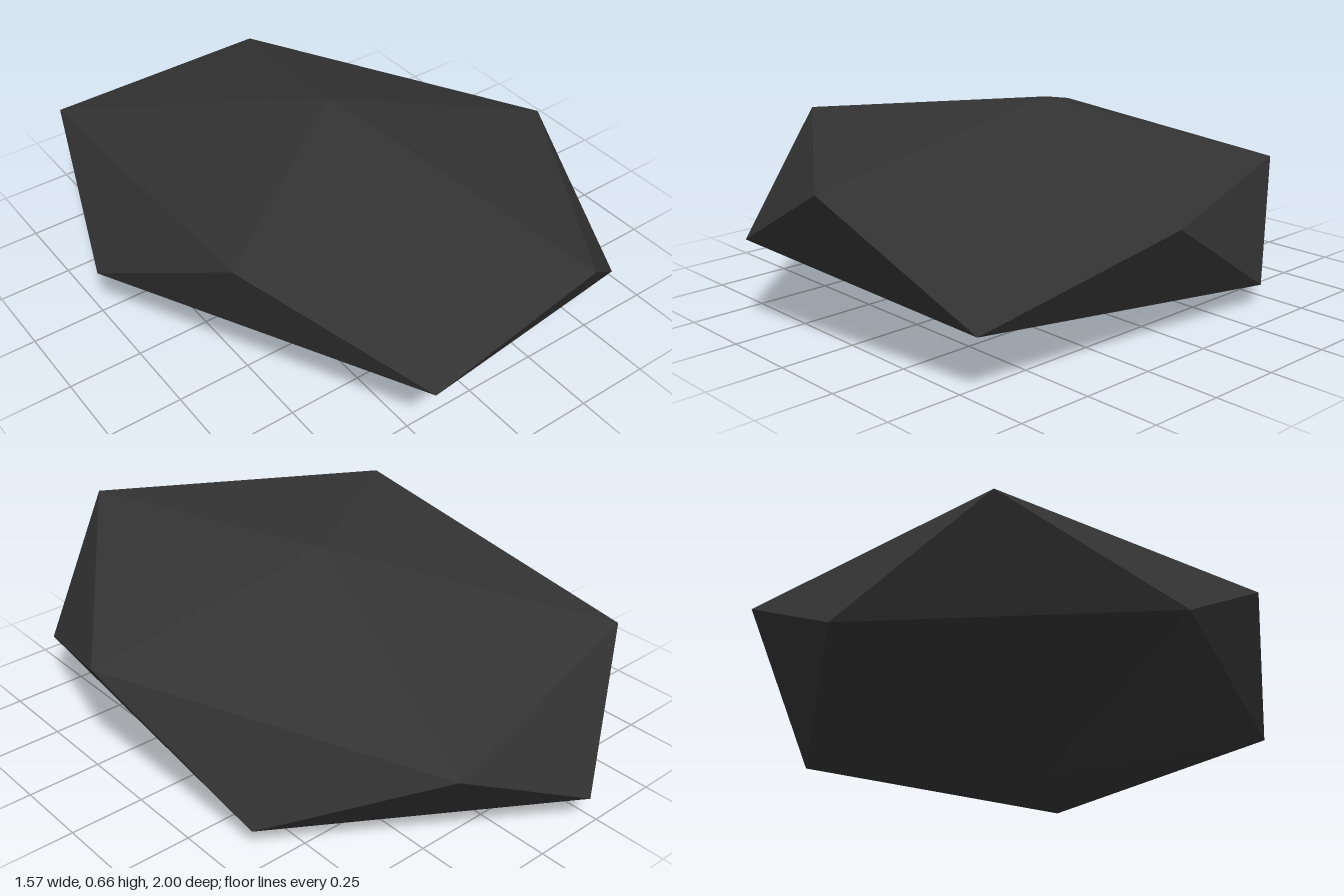
import * as THREE from 'three';
import { ConvexGeometry } from 'three/addons/geometries/ConvexGeometry.js';

// Faceted stone: a squashed, tilted icosahedron, point-symmetric about its centre
export function createModel() {
  const group = new THREE.Group();
  group.name = 'rock';

  const stone = new THREE.MeshStandardMaterial({ color: 0x333333, flatShading: true });
  stone.name = 'dark stone';

  // Upper six corners relative to the centre: the peak, then the ring around it
  const upper = [
    [0.03, 0.331, -0.035],
    [0.207, 0.231, 1.0],
    [0.787, 0.086, 0.165],
    [0.295, 0.026, -0.918],
    [-0.586, 0.134, -0.758],
    [-0.64, 0.26, 0.424],
  ].map((p) => new THREE.Vector3(...p));

  // Lower six corners are the upper ones mirrored through the centre
  const corners = [...upper, ...upper.map((p) => p.clone().negate())];

  const body = new THREE.Mesh(new ConvexGeometry(corners), stone);
  body.name = 'stoneBody';
  body.position.y = 0.335;
  group.add(body);
  return group;
}
